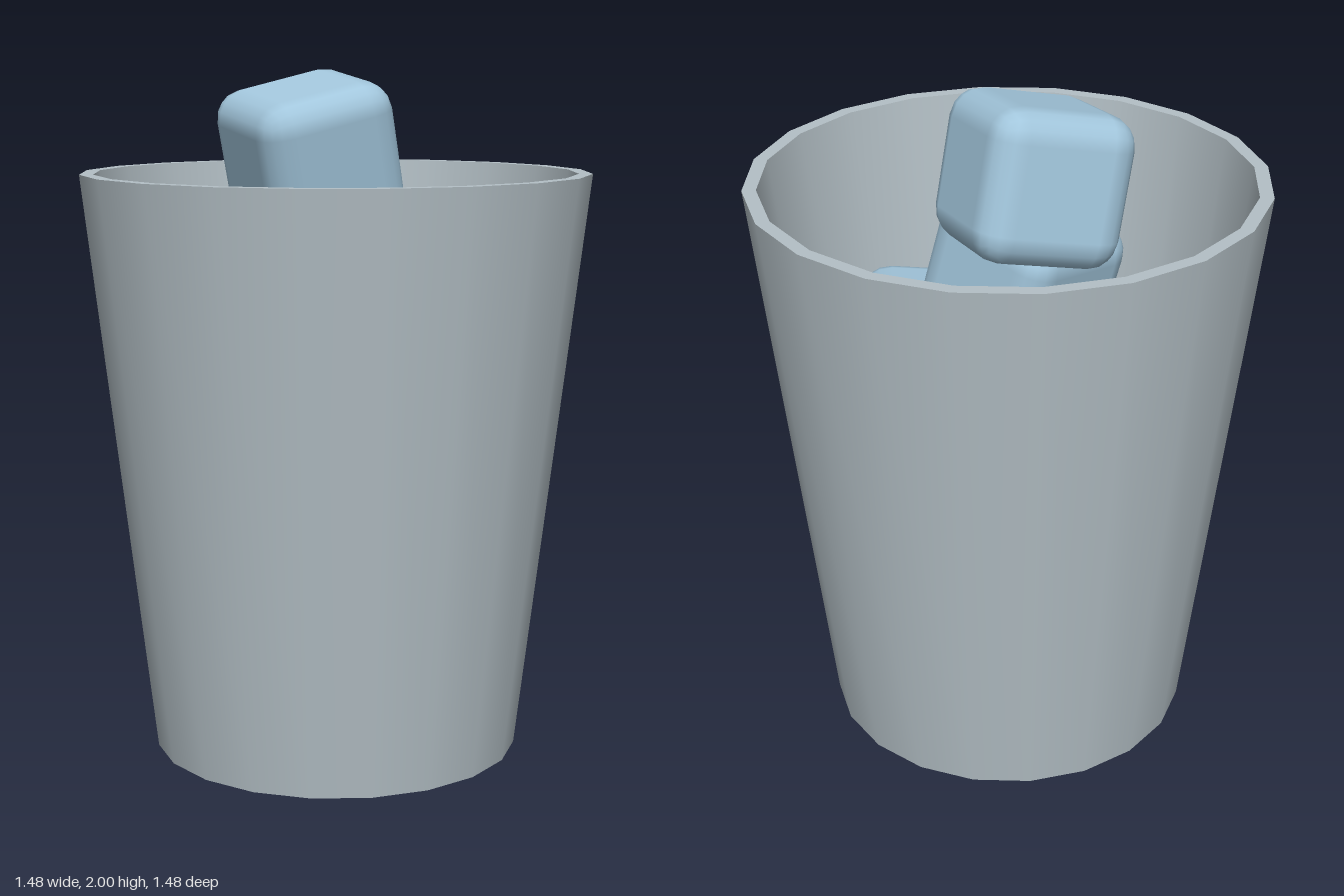
import * as THREE from 'three';
import { mergeGeometries } from 'three/addons/utils/BufferGeometryUtils.js';
import { RoundedBoxGeometry } from 'three/addons/geometries/RoundedBoxGeometry.js';

const SIDES = 20;

export function createModel() {
  const group = new THREE.Group();
  const cupGrey = new THREE.MeshStandardMaterial({ color: 0xb4c0c6 });
  cupGrey.name = 'cup grey';
  const iceBlue = new THREE.MeshStandardMaterial({ color: 0xa2c6dc });
  iceBlue.name = 'ice blue';

  // Cup: each stretch of the closed profile is turned on its own, so edges stay sharp
  const profile = [
    [0, 0], [0.54, 0], [0.74, 1.705], [0.7, 1.705], [0.51, 0.08], [0, 0.08],
  ].map(([r, y]) => new THREE.Vector2(r, y));
  const bands = [];
  for (let i = 0; i < profile.length - 1; i++) {
    bands.push(new THREE.LatheGeometry([profile[i], profile[i + 1]], SIDES));
  }
  const cup = new THREE.Mesh(mergeGeometries(bands), cupGrey);
  cup.name = 'cup';
  group.add(cup);

  // Ice cubes: centre, direction of one side, rough up direction
  const cubeGeometry = new RoundedBoxGeometry(0.43, 0.43, 0.43, 2, 0.09);
  const cubes = [
    ['topIceCube', [-0.085, 1.744, -0.075], [0.557, -0.131, 0.82], [-0.117, 0.962, 0.234]],
    ['upperIceCube', [-0.03, 1.39, 0.04], [0.82, 0.2, 0.54], [-0.2, 0.97, 0.05]],
    ['backIceCube', [0.07, 1.03, -0.23], [0.77, 0.05, 0.64], [0, 1, -0.08]],
    ['leftIceCube', [-0.31, 1.0, -0.09], [0.99, 0.08, 0.13], [-0.1, 1, 0.03]],
    ['rightIceCube', [0.275, 1.05, 0.17], [0.96, 0.1, -0.28], [-0.1, 1, 0.12]],
    ['lowerLeftIceCube', [-0.2, 0.65, 0.08], [0.94, -0.05, 0.33], [0, 1, -0.15]],
    ['lowerRightIceCube', [0.17, 0.65, -0.01], [0.4, 0.05, 0.92], [-0.1, 1, 0]],
    ['bottomIceCube', [0, 0.3, 0], [0.9, 0, 0.43], [0, 1, 0]],
  ];
  for (const [name, centre, side, up] of cubes) {
    const x = new THREE.Vector3(...side).normalize();
    const z = x.clone().cross(new THREE.Vector3(...up)).normalize();
    const y = z.clone().cross(x);
    const cube = new THREE.Mesh(cubeGeometry, iceBlue);
    cube.name = name;
    cube.position.set(...centre);
    cube.quaternion.setFromRotationMatrix(new THREE.Matrix4().makeBasis(x, y, z));
    group.add(cube);
  }
  return group;
}
